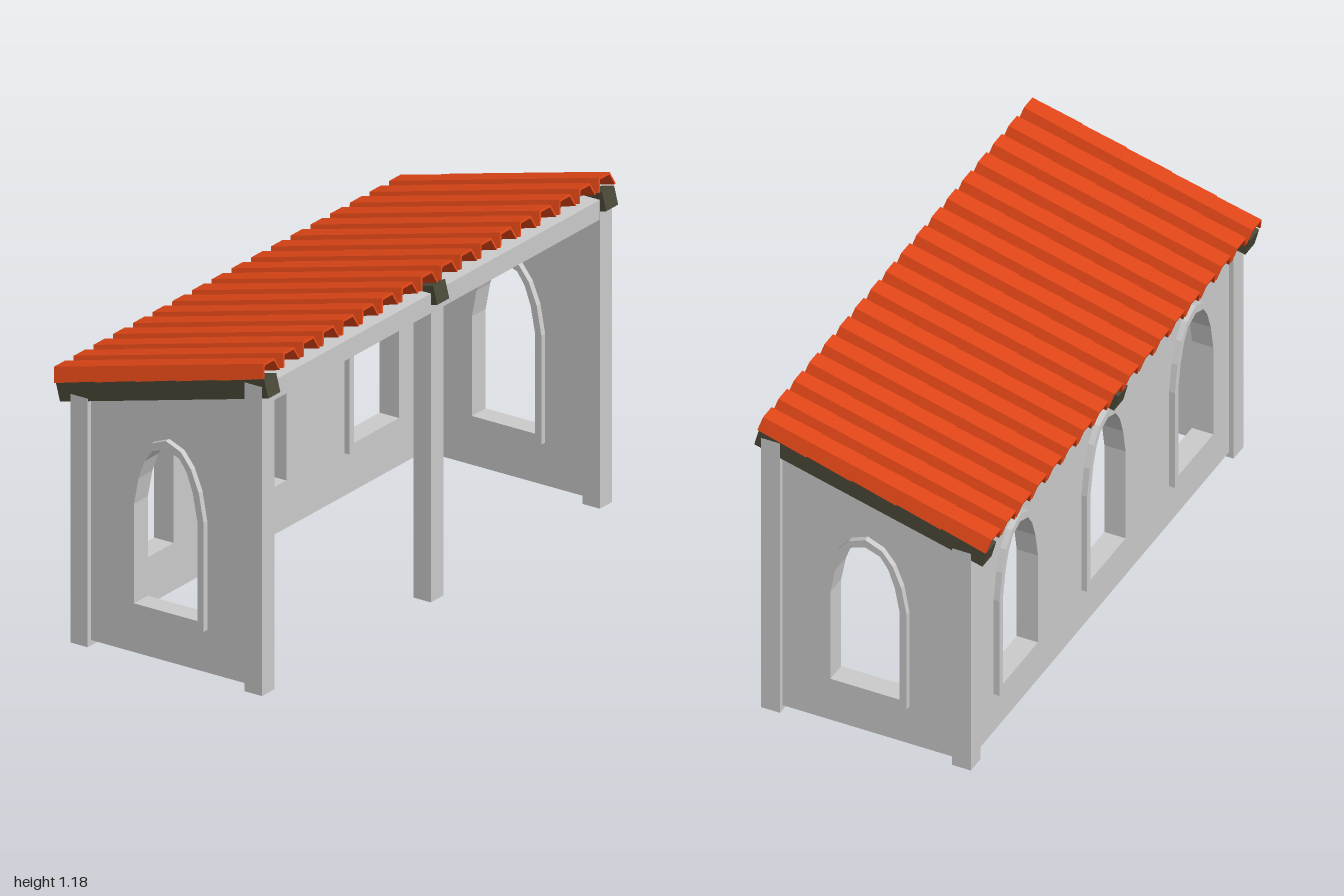
import * as THREE from 'three';

const stone = new THREE.MeshStandardMaterial({ color: 0xcccccc, flatShading: true });
const wood = new THREE.MeshStandardMaterial({ color: 0x4b4937, flatShading: true });
const clay = new THREE.MeshStandardMaterial({ color: 0xdf4616, flatShading: true, side: THREE.DoubleSide });

const SLOPE = 0.2555;      // roof pitch in radians
const WALL = 0.035;        // wall thickness
const FRAME = 0.078;       // window frame depth
const END_Z = 0.955;       // centre of the end walls, posts and outer rafters
const BACK_X = -0.335;     // centre of the back wall and back posts
const FRONT_X = 0.365;     // centre of the open-side posts

// Half outlines of the pointed window, from sill to tip: [half width, height]
const OPENING = [[0.127, 0.205], [0.127, 0.56], [0.109, 0.655], [0.085, 0.722], [0.055, 0.765], [0, 0.785]];
const SURROUND = [[0.152, 0.172], [0.152, 0.56], [0.133, 0.662], [0.102, 0.738], [0.061, 0.79], [0, 0.815]];

function archPoints(half, cx) {
  const right = half.map(([w, y]) => new THREE.Vector2(cx + w, y));
  const left = half.slice(0, -1).reverse().map(([w, y]) => new THREE.Vector2(cx - w, y));
  return [...right, ...left];
}

function add(parent, name, geometry, material, x = 0, y = 0, z = 0) {
  const mesh = new THREE.Mesh(geometry, material);
  mesh.name = name;
  mesh.position.set(x, y, z);
  parent.add(mesh);
  return mesh;
}

function slab(shape, depth) {
  return new THREE.ExtrudeGeometry(shape, { depth, bevelEnabled: false }).translate(0, 0, -depth / 2);
}

// A wall panel pierced by pointed windows, each with a raised surround
function windowWall(name, corners, centres) {
  const group = new THREE.Group();
  group.name = name;
  const panel = new THREE.Shape(corners.map(([x, y]) => new THREE.Vector2(x, y)));
  for (const cx of centres) {
    panel.holes.push(new THREE.Path(archPoints(OPENING, cx)));
    const ring = new THREE.Shape(archPoints(SURROUND, cx));
    ring.holes.push(new THREE.Path(archPoints(OPENING, cx)));
    add(group, 'windowFrame', slab(ring, FRAME), stone);
  }
  add(group, 'wallPanel', slab(panel, WALL), stone);
  return group;
}

// Hollow trapezoid cover tile running along +x, narrowing up the slope
function tileGeometry(length) {
  const profile = [
    [-0.0525, 0], [-0.033, 0.05], [0.033, 0.05], [0.0525, 0],
    [0.045, 0], [0.028, 0.042], [-0.028, 0.042], [-0.045, 0],
  ];
  const shape = new THREE.Shape(profile.map(([x, y]) => new THREE.Vector2(x, y)));
  const geometry = new THREE.ExtrudeGeometry(shape, { depth: length, bevelEnabled: false });
  const p = geometry.attributes.position;
  for (let i = 0; i < p.count; i++) {
    const s = 1 - 0.07 * p.getZ(i) / length;
    p.setXY(i, p.getX(i) * s, p.getY(i) * s);
  }
  geometry.rotateY(Math.PI / 2);
  geometry.computeVertexNormals();
  return geometry;
}

export function createModel() {
  const model = new THREE.Group();
  model.name = 'arcadeShelter';

  // End walls with sloping tops
  for (const side of [1, -1]) {
    const wall = windowWall(side > 0 ? 'frontWall' : 'rearWall',
      [[BACK_X, 0.02], [FRONT_X, 0.02], [FRONT_X, 1.08], [BACK_X, 0.9]], [0.016]);
    wall.position.z = side * END_Z;
    model.add(wall);
  }

  // Long wall with three windows
  const longWall = windowWall('longWall',
    [[-END_Z, 0.02], [END_Z, 0.02], [END_Z, 0.925], [-END_Z, 0.925]], [-0.637, 0, 0.637]);
  longWall.rotation.y = Math.PI / 2;
  longWall.position.x = BACK_X;
  model.add(longWall);

  // Posts and the beam along the open side
  for (const z of [-END_Z, 0, END_Z]) {
    add(model, 'tallPost', new THREE.BoxGeometry(0.07, 1.1, 0.07), stone, FRONT_X, 0.55, z);
    if (z) add(model, 'cornerPost', new THREE.BoxGeometry(0.07, 0.885, 0.07), stone, BACK_X, 0.4425, z);
  }
  add(model, 'beam', new THREE.BoxGeometry(0.069, 0.07, 1.98), stone, FRONT_X, 1.065, 0);

  // Roof, built flat with its origin at the low lower edge, then tilted
  const roof = new THREE.Group();
  roof.name = 'roof';
  roof.position.set(-0.412, 0.847, 0);
  roof.rotation.z = SLOPE;
  model.add(roof);

  for (const z of [-END_Z, 0, END_Z]) {
    add(roof, 'rafter', new THREE.BoxGeometry(0.865, 0.066, 0.068), wood, 0.4325, 0.033, z);
  }

  // Eighteen rows of five overlapping tiles
  const tile = tileGeometry(0.188);
  for (let row = 0; row < 18; row++) {
    for (let i = 0; i < 5; i++) {
      const t = add(roof, 'roofTile', tile, clay, i * 0.17, 0.068, (row - 8.5) * 0.1115);
      t.rotation.z = 0.012;
    }
  }
  return model;
}
